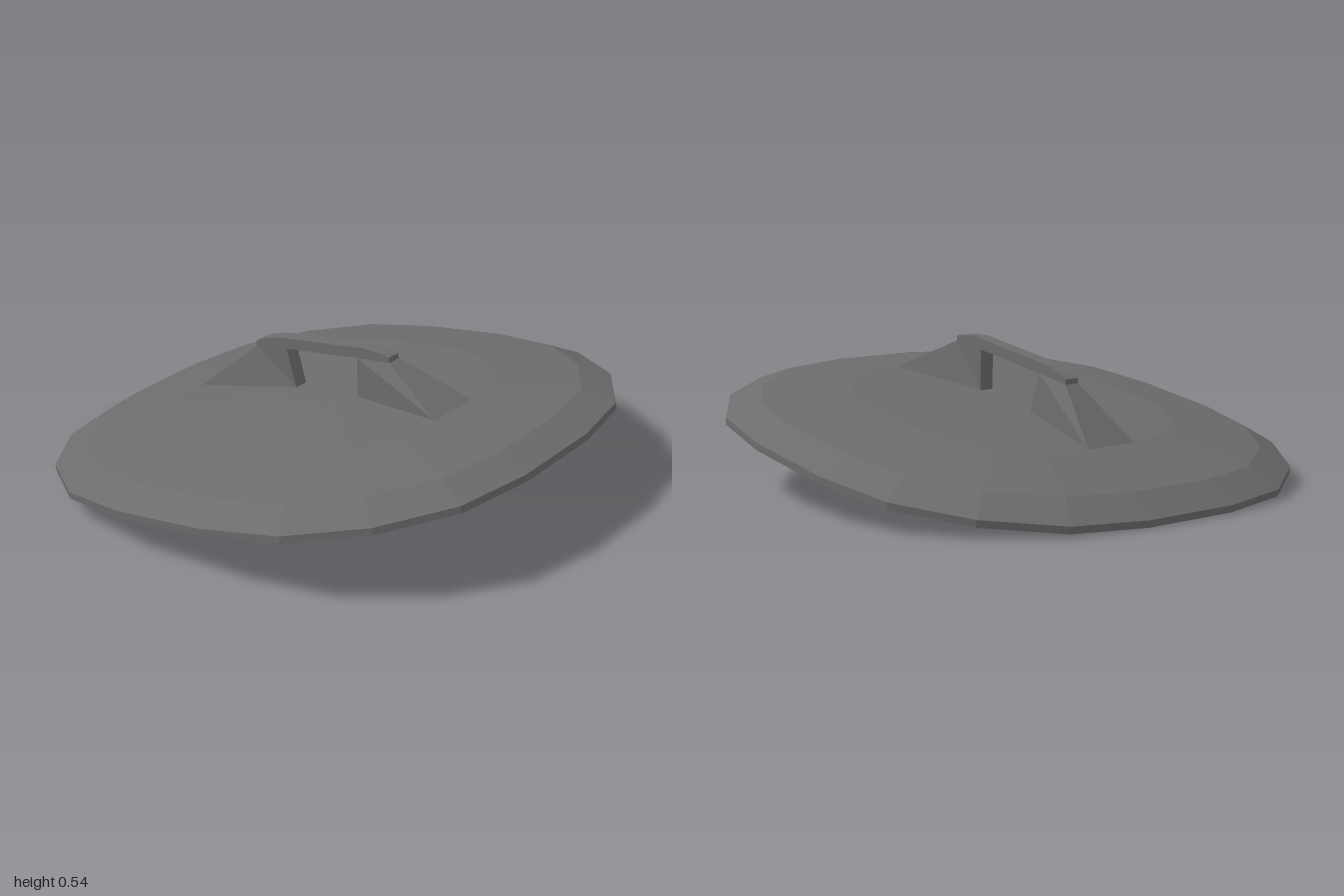
import * as THREE from 'three';

// Skin between successive rings of [x, y, z] points, listed from bottom to top.
function loft(rings, { skip = () => false, cap = null } = {}) {
  const pos = [];
  const tri = (...pts) => pts.forEach((p) => pos.push(...p));
  const n = rings[0].length;
  for (let r = 0; r < rings.length - 1; r++) {
    for (let i = 0; i < n; i++) {
      if (skip(r, i)) continue;
      const j = (i + 1) % n;
      const [a, b, c, d] = [rings[r][i], rings[r][j], rings[r + 1][j], rings[r + 1][i]];
      tri(a, d, c);
      tri(a, c, b);
    }
  }
  if (cap) {
    const top = rings[rings.length - 1];
    top.forEach((p, i) => tri(p, cap, top[(i + 1) % n]));
  }
  const geo = new THREE.BufferGeometry();
  geo.setAttribute('position', new THREE.Float32BufferAttribute(pos, 3));
  geo.computeVertexNormals();
  return geo;
}

export function createModel() {
  const metal = new THREE.MeshStandardMaterial({
    color: 0x6c6c6c, flatShading: true, side: THREE.DoubleSide,
  });
  metal.name = 'grey metal';

  const model = new THREE.Group();
  model.name = 'lid';
  const add = (name, geo) => {
    const mesh = new THREE.Mesh(geo, metal);
    mesh.name = name;
    model.add(mesh);
    return mesh;
  };

  // Rounded twenty-sided outline, one quadrant turned four times
  const quadrant = [[1, 0.2], [0.94, 0.505], [0.763, 0.763], [0.505, 0.94], [0.2, 1]];
  const outline = [];
  for (let q = 0, pts = quadrant; q < 4; q++) {
    outline.push(...pts);
    pts = pts.map(([x, z]) => [-z, x]);
  }

  // Thin domed shell, open under each handle post
  const profile = [[1, 0], [1, 0.027], [0.885, 0.088], [0.57, 0.137], [0.15, 0.147]];
  const rings = profile.map(([r, y]) => outline.map(([x, z]) => [x * r, y, z * r]));
  add('dome', loft(rings, { skip: (r, i) => r === 3 && i % 10 === 9, cap: [0, 0.148, 0] }));

  // Hollow handle posts, flaring outwards to the dome
  const postGeo = loft([
    [[0.57, 0.137, 0.114], [0.15, 0.147, 0.03], [0.15, 0.147, -0.03], [0.57, 0.137, -0.114]],
    [[0.323, 0.3, 0.03], [0.172, 0.303, 0.03], [0.172, 0.303, -0.03], [0.323, 0.3, -0.03]],
  ]);
  add('leftPost', postGeo);
  add('rightPost', postGeo).rotation.y = Math.PI;

  // Grip bar with bevelled ends
  const half = [[0.172, 0.303], [0.323, 0.3], [0.323, 0.32], [0.29, 0.332], [0.21, 0.345]];
  const points = [...half, ...half.map(([x, y]) => [-x, y]).reverse()];
  const bar = new THREE.Shape(points.map(([x, y]) => new THREE.Vector2(x, y)));
  add('grip', new THREE.ExtrudeGeometry(bar, { depth: 0.06, bevelEnabled: false }).translate(0, 0, -0.03));

  // The whole lid rests on its right edge
  const tilt = 0.1655;
  model.rotation.z = tilt;
  model.position.set(0.002, Math.sin(tilt), 0);
  const root = new THREE.Group();
  root.name = 'tiltedLid';
  root.add(model);
  return root;
}
